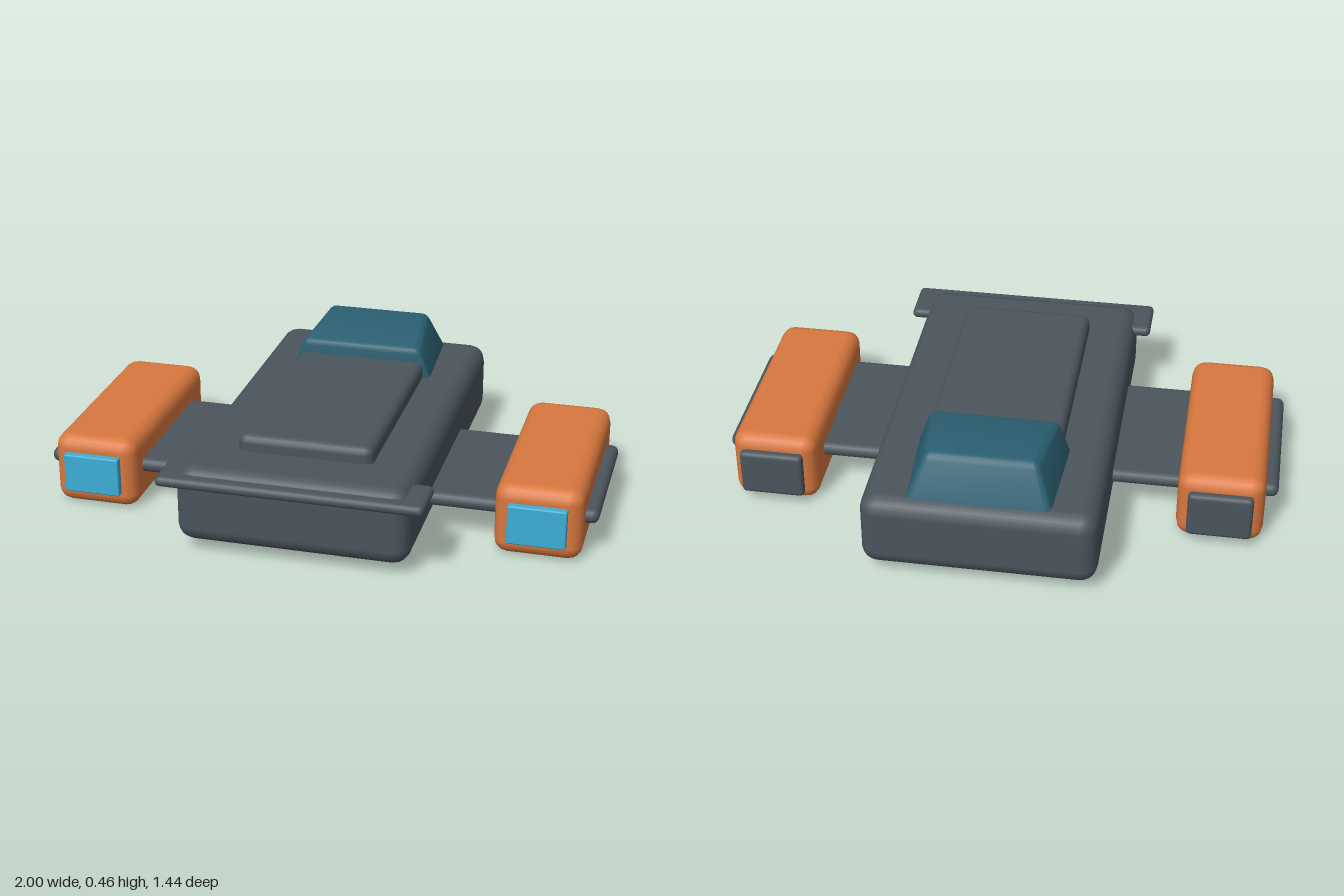
import * as THREE from 'three';
import { toCreasedNormals } from 'three/addons/utils/BufferGeometryUtils.js';
import { RoundedBoxGeometry } from 'three/addons/geometries/RoundedBoxGeometry.js';

const material = (name, color) => {
  const m = new THREE.MeshStandardMaterial({ color });
  m.name = name;
  return m;
};

// Rounded block given by its [min, max] extents on each axis
function block(name, mat, [x0, x1], [y0, y1], [z0, z1], radius) {
  const geo = new RoundedBoxGeometry(x1 - x0, y1 - y0, z1 - z0, 2, radius);
  const mesh = new THREE.Mesh(geo, mat);
  mesh.position.set((x0 + x1) / 2, (y0 + y1) / 2, (z0 + z1) / 2);
  mesh.name = name;
  return mesh;
}

// Canopy: a rounded block tapered upward, with a raked back and a rising roof
function canopyGeometry() {
  const lerp = THREE.MathUtils.lerp;
  const w = 0.54, h = 0.18, d = 0.39;
  const geo = new RoundedBoxGeometry(w, h, d, 2, 0.025);
  const p = geo.attributes.position;
  for (let i = 0; i < p.count; i++) {
    const s = p.getX(i) / (w / 2);
    const up = p.getY(i) / h + 0.5;
    const fwd = p.getZ(i) / d + 0.5;
    const half = lerp(lerp(0.265, 0.285, fwd), lerp(0.19, 0.225, fwd), up);
    p.setXYZ(i,
      s * half,
      lerp(0.27, lerp(0.465, 0.428, fwd), up),
      lerp(lerp(-0.695, -0.605, up), -0.302, fwd));
  }
  return toCreasedNormals(geo, 0.6);
}

export function createModel() {
  const grey = material('hull grey', 0x4b555d);
  const orange = material('pod orange', 0xd9783f);
  const teal = material('canopy teal', 0x2b6072);
  const blue = material('glow blue', 0x3eaed6);

  const model = new THREE.Group();
  model.name = 'hoverCraft';

  // Body
  model.add(
    block('hull', grey, [-0.41, 0.41], [0.04, 0.317], [-0.72, 0.69], 0.06),
    block('deck', grey, [-0.24, 0.24], [0.25, 0.375], [-0.45, 0.49], 0.03),
    block('frontPlate', grey, [-0.467, 0.467], [0.256, 0.294], [0.535, 0.72], 0.018));
  const canopy = new THREE.Mesh(canopyGeometry(), teal);
  canopy.name = 'canopy';
  model.add(canopy);

  // Wing and engine pod on each side
  for (const [side, s] of [['left', 1], ['right', -1]]) {
    const span = (a, b) => (s > 0 ? [a, b] : [-b, -a]);
    const group = new THREE.Group();
    group.name = side + 'Engine';
    group.add(
      block('wing', grey, span(0.35, 1), [0.114, 0.166], [-0.225, 0.35], 0.025),
      block('pod', orange, span(0.648, 0.955), [0, 0.262], [-0.35, 0.428], 0.05),
      block('intake', blue, span(0.7, 0.905), [0.062, 0.206], [0.427, 0.458], 0.006),
      block('exhaust', grey, span(0.688, 0.917), [0.046, 0.22], [-0.39, -0.352], 0.016));
    model.add(group);
  }
  return model;
}
